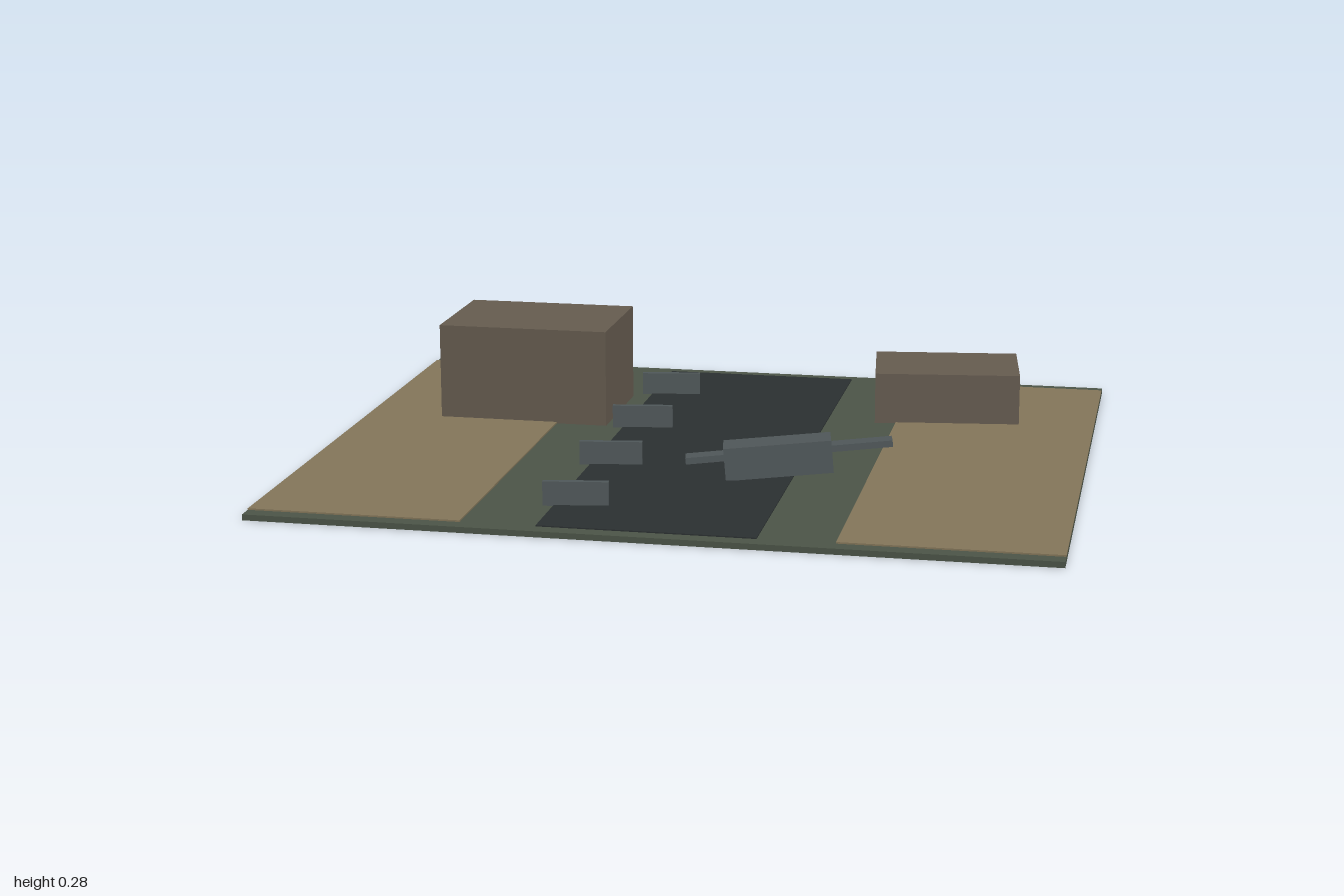
import * as THREE from 'three';

const mat = (color) => new THREE.MeshStandardMaterial({ color });

export function createModel() {
  const group = new THREE.Group();
  const green = mat(0x4c5548), asphalt = mat(0x2b3031), sand = mat(0x84765a);
  const brown = mat(0x665c50), metal = mat(0x50585a);

  // Box by centre, size, yaw about y and tilt along its own length
  const box = (name, material, [w, h, d], [x, y, z], yaw = 0, tilt = 0) => {
    const mesh = new THREE.Mesh(new THREE.BoxGeometry(w, h, d), material);
    mesh.name = name;
    mesh.position.set(x, y, z);
    mesh.rotation.set(0, yaw, tilt);
    group.add(mesh);
  };

  // Ground slab with the road and a sandy strip on each side
  box('groundSlab', green, [2, 0.015, 1.69], [0, 0.0075, 0]);
  box('road', asphalt, [0.54, 0.008, 1.61], [0, 0.014, 0]);
  for (const [name, s] of [['leftSandStrip', 1], ['rightSandStrip', -1]])
    box(name, sand, [0.54, 0.008, 1.61], [s * 0.73, 0.015, 0]);

  // Buildings
  box('tallBuilding', brown, [0.47, 0.265, 0.343], [-0.555, 0.1465, -0.325]);
  box('lowBuilding', brown, [0.396, 0.14, 0.27], [0.583, 0.086, -0.48], 0.12);

  // Row of roadside barriers
  for (let i = 0; i < 4; i++)
    box('barrier' + (i + 1), metal, [0.164, 0.062, 0.016], [-0.217, 0.047, -0.54 + i * 0.385], 0.15);

  // Wreck: tilted hull with a long bar running through it
  box('wreckHull', metal, [0.276, 0.085, 0.088], [0.231, 0.07, 0.266], 0.18, 0.085);
  box('wreckBar', metal, [0.53, 0.017, 0.047], [0.259, 0.089, 0.269], 0.18, 0.092);

  return group;
}
